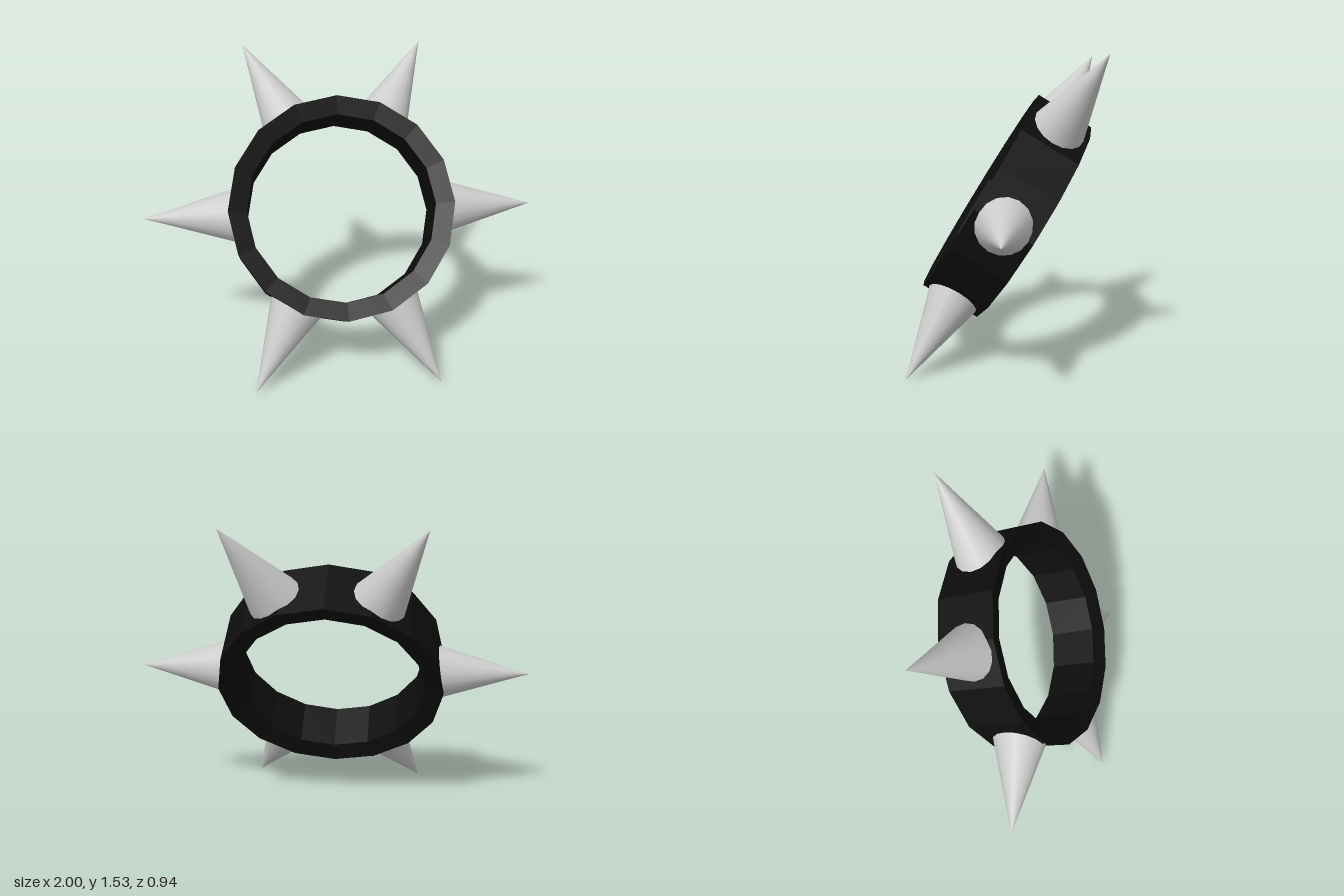
import * as THREE from 'three';

const TILT = -31.6 * Math.PI / 180;
const CENTER_Y = 0.765;

export function createModel() {
  const model = new THREE.Group();
  model.name = 'spikedCollar';

  // Everything is built around the z axis, then leaned back
  const collar = new THREE.Group();
  collar.name = 'tiltedCollar';
  collar.position.y = CENTER_Y;
  collar.rotation.x = TILT;
  model.add(collar);

  // Band: 16-sided ring with sides tapering towards the inside
  const profile = [
    [0.57, -0.156], [0.57, 0.156], [0.477, 0.127], [0.477, -0.127], [0.57, -0.156],
  ].map(([r, y]) => new THREE.Vector2(r, y));
  const bandGeometry = new THREE.LatheGeometry(profile, 16);
  bandGeometry.rotateX(Math.PI / 2);
  const band = new THREE.Mesh(
    bandGeometry,
    new THREE.MeshStandardMaterial({ color: 0x0d0d0d, flatShading: true })
  );
  band.name = 'band';
  collar.add(band);

  // Spikes: smooth cones pointing outwards from the band
  const spikeMaterial = new THREE.MeshStandardMaterial({ color: 0xcccccc });
  const base = 0.53;
  const addSpike = (name, degrees, tip) => {
    const height = tip - base;
    const geometry = new THREE.ConeGeometry(0.141, height, 16, 4);
    geometry.translate(0, base + height / 2, 0);
    const spike = new THREE.Mesh(geometry, spikeMaterial);
    spike.name = name;
    spike.rotation.z = (degrees - 90) * Math.PI / 180;
    collar.add(spike);
  };
  addSpike('leftSpike', 0, 1);
  addSpike('upperLeftSpike', 62.4, 1.013);
  addSpike('upperRightSpike', 117.6, 1.013);
  addSpike('rightSpike', 180, 1);
  addSpike('lowerRightSpike', 242.4, 1.013);
  addSpike('lowerLeftSpike', 297.6, 1.013);

  return model;
}
